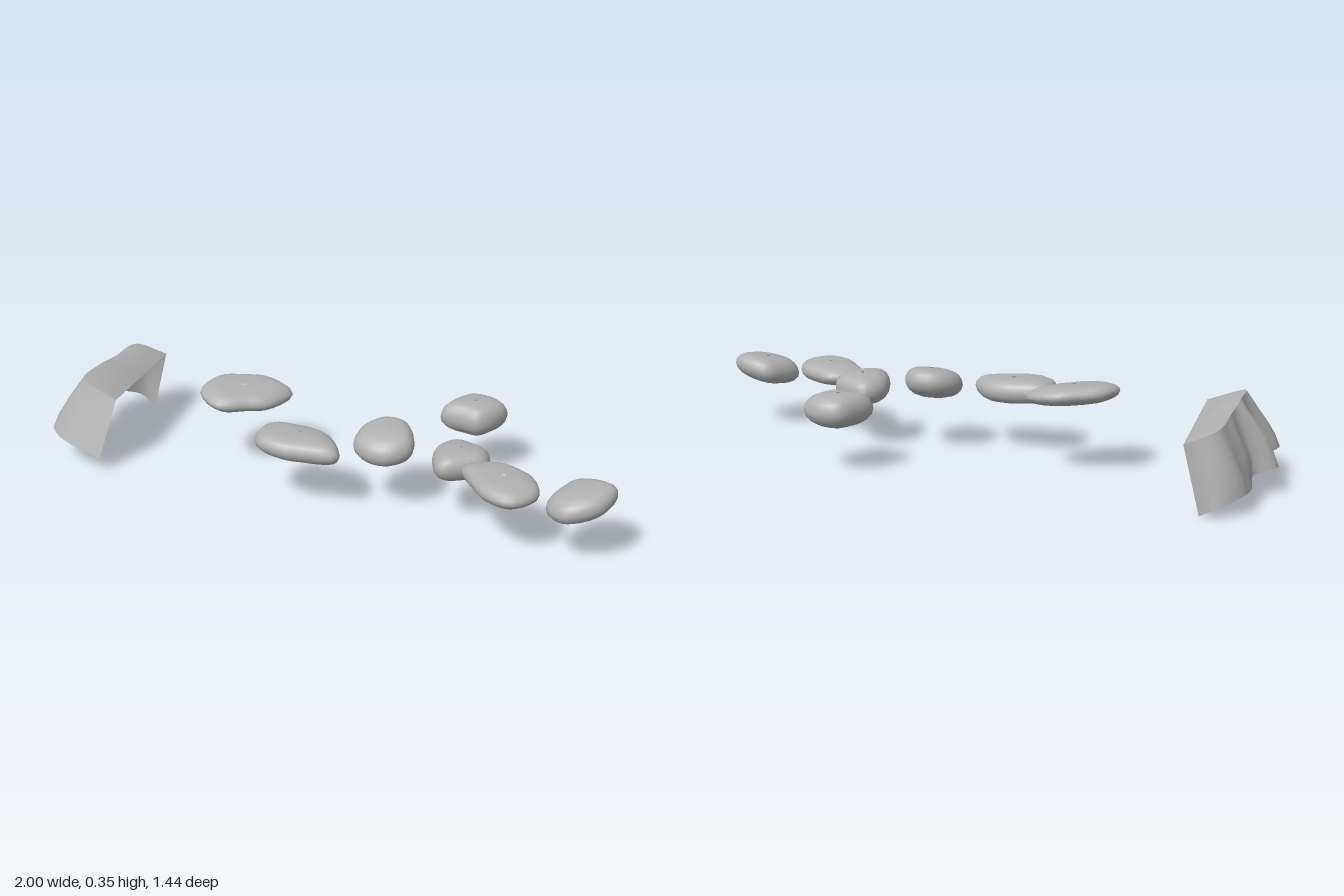
import * as THREE from 'three';

const stoneGrey = new THREE.MeshStandardMaterial({ color: 0xb0b0b0, side: THREE.DoubleSide });
stoneGrey.name = 'stoneGrey';

// Joins rows of points into a smooth surface; closed rows wrap round
function loft(rows, closed) {
  const n = rows[0].length, pos = [], idx = [];
  rows.forEach(r => r.forEach(p => pos.push(p.x, p.y, p.z)));
  for (let j = 0; j < rows.length - 1; j++)
    for (let i = 0; i < (closed ? n : n - 1); i++) {
      const a = j * n + i, b = j * n + (i + 1) % n, c = a + n, d = b + n;
      idx.push(a, c, b, b, c, d);
    }
  const g = new THREE.BufferGeometry();
  g.setAttribute('position', new THREE.Float32BufferAttribute(pos, 3));
  g.setIndex(idx);
  g.computeVertexNormals();
  return g;
}

function add(group, name, geometry) {
  const m = new THREE.Mesh(geometry, stoneGrey);
  m.name = name;
  group.add(m);
}

// Stone: radii r at eight equal angles from +x towards +z, rounded between bottom and top
function stoneGeometry({ x, z, bottom, top, tiltX = 0, tiltZ = 0, taper, r }) {
  const corners = r.map((v, i) => {
    const a = i * Math.PI / 4;
    return new THREE.Vector3(v * Math.cos(a), 0, v * Math.sin(a));
  });
  const outline = new THREE.CatmullRomCurve3(corners, true).getPoints(32).slice(0, 32);
  const rows = [];
  for (let j = 0; j <= 10; j++) {
    const t = (j / 10 - 0.5) * Math.PI * 0.998;
    const s = Math.cos(t) ** (t < 0 ? taper : 0.5);
    const y = bottom + (top - bottom) * (0.5 + 0.5 * Math.sin(t));
    rows.push(outline.map(p => new THREE.Vector3(
      x + p.x * s, y + (tiltX * p.x + tiltZ * p.z) * s, z + p.z * s)));
  }
  return loft(rows, true);
}

const stones = [
  { x: -.26, z: -.165, bottom: .265, top: .34, tiltX: -.05, tiltZ: -.12, taper: .6, r: [.18, .125, .1, .15, .17, .14, .108, .135] },
  { x: -.07, z: .14, bottom: .195, top: .29, tiltX: -.05, taper: .6, r: [.12, .18, .11, .12, .165, .165, .09, .085] },
  { x: .24, z: .195, bottom: .205, top: .32, tiltX: .1, tiltZ: -.15, taper: .7, r: [.1, .115, .11, .108, .12, .115, .115, .11] },
  { x: .5, z: .29, bottom: .17, top: .285, tiltZ: .06, taper: .7, r: [.105, .11, .097, .132, .105, .11, .118, .09] },
  { x: .62, z: .5, bottom: .2, top: .28, taper: .6, r: [.115, .145, .15, .115, .11, .18, .14, .105] },
  { x: .87, z: .61, bottom: .175, top: .28, tiltX: .2, taper: .7, r: [.13, .11, .105, .12, .12, .095, .105, .105] },
  { x: .6, z: -.05, bottom: .17, top: .3, taper: .9, r: [.125, .095, .097, .085, .13, .1, .11, .11] },
];

// Rock overhang: foot and crest lines run from the back end to the front end
const foot = [[-.62, 0, -.69], [-.68, .04, -.73], [-.78, .07, -.69], [-.82, .07, -.62], [-.85, .085, -.52],
  [-.95, .1, -.48], [-.91, .09, -.36], [-1, .12, -.3], [-.96, .105, -.21], [-.82, .06, -.13]];
const crest = [[-.565, .25, -.66], [-.68, .295, -.665], [-.76, .31, -.52], [-.83, .33, -.38], [-.87, .33, -.27], [-.75, .275, -.19]];

function addOverhang(group) {
  const N = 36;
  const sample = pts => new THREE.CatmullRomCurve3(pts.map(p => new THREE.Vector3(...p))).getPoints(N);
  const low = sample(foot), high = sample(crest);

  // Rough wall with soft vertical folds
  const wall = [1, 0.75, 0.5, 0.25, 0].map(t => low.map((p, i) => {
    const fold = Math.sin(Math.PI * t) * Math.sin(Math.PI * i / N) * (0.012 + 0.012 * Math.sin(i * 0.95 + t * 3));
    const q = p.clone().lerp(high[i], t);
    q.x -= fold;
    q.z -= fold * 0.4;
    return q;
  }));
  add(group, 'overhangWall', loft(wall, false));

  // Smooth sloping roof from the crest to a straight front lip
  const roof = [1, 0.67, 0.33, 0].map(t => high.map((p, i) => {
    const lip = high[0].clone().lerp(high[N], i / N);
    const q = p.clone().lerp(lip, t);
    q.y += 0.012 * Math.sin(Math.PI * t) * Math.sin(Math.PI * i / N);
    return q;
  }));
  add(group, 'overhangRoof', loft(roof, false));
}

export function createModel() {
  const model = new THREE.Group();
  model.name = 'steppingStones';
  stones.forEach((s, i) => add(model, 'stone' + (i + 1), stoneGeometry(s)));
  const rock = new THREE.Group();
  rock.name = 'rockOverhang';
  addOverhang(rock);
  model.add(rock);
  return model;
}
